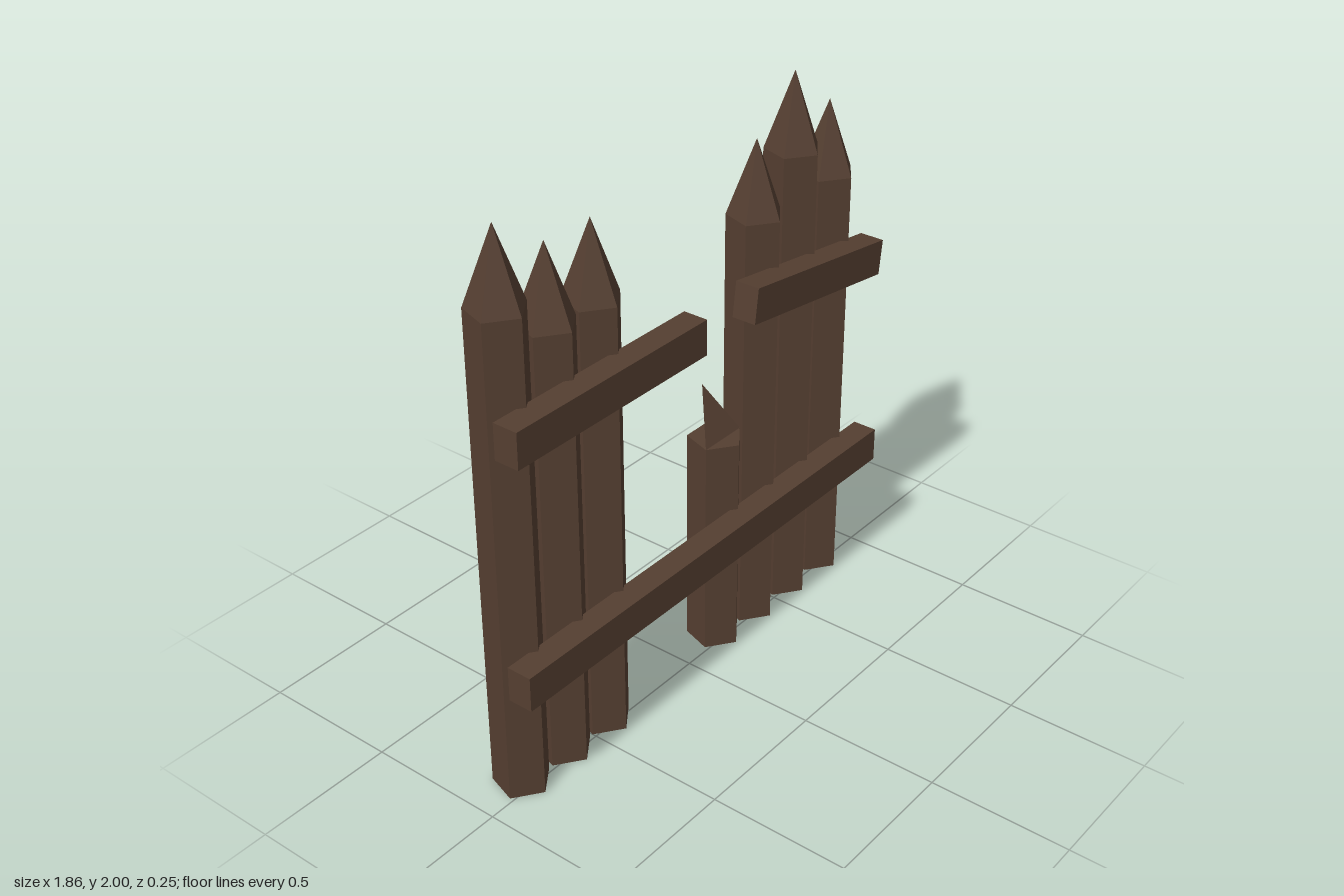
import * as THREE from 'three';

const wood = new THREE.MeshStandardMaterial({ color: 0x553f31 });
wood.name = 'darkWood';
wood.flatShading = true;
wood.side = THREE.DoubleSide;

const R = 0.098;        // five-sided stake radius, one edge facing the front
const STAKE_Z = -0.045;
const RAIL_H = 0.125, RAIL_D = 0.09, RAIL_Z = 0.08;

function add(parent, name, geometry, x, y, z) {
  const mesh = new THREE.Mesh(geometry, wood);
  mesh.name = name;
  mesh.position.set(x, y, z);
  parent.add(mesh);
  return mesh;
}

// Upright post, optionally with a pointed tip
function stake(name, x, shoulder, tip) {
  const g = new THREE.Group();
  g.name = name;
  g.position.set(x, 0, STAKE_Z);
  add(g, 'post', new THREE.CylinderGeometry(R, R, shoulder, 5, 1, Boolean(tip)), 0, shoulder / 2, 0);
  if (tip) {
    const h = tip - shoulder;
    add(g, 'point', new THREE.ConeGeometry(R, h, 5, 1, true), 0, shoulder + h / 2, 0);
    const base = add(g, 'base', new THREE.CircleGeometry(R, 5), 0, 0, 0);
    base.rotation.set(Math.PI / 2, 0, Math.PI / 2);
  }
  return g;
}

function rail(parent, name, x, y, length, tilt = 0) {
  add(parent, name, new THREE.BoxGeometry(length, RAIL_H, RAIL_D), x, y, RAIL_Z).rotation.z = tilt;
}

export function createModel() {
  const fence = new THREE.Group();
  fence.name = 'brokenFence';

  // Whole stakes: x, shoulder height, tip height
  [
    [-0.81, 1.715, 1.98], [-0.607, 1.585, 1.85], [-0.407, 1.585, 1.85],
    [0.402, 1.565, 1.83], [0.603, 1.73, 2.0], [0.806, 1.58, 1.84],
  ].forEach(([x, shoulder, tip], i) => fence.add(stake(`stake${i + 1}`, x, shoulder, tip)));

  // Snapped stake: flat top with one splinter leaning back
  const snapped = stake('snappedStake', 0.2, 0.82);
  const sx = R * Math.sin(Math.PI * 0.4), sz = R * Math.cos(Math.PI * 0.4);
  const splinter = new THREE.BufferGeometry().setFromPoints([
    new THREE.Vector3(-sx, 0, sz), new THREE.Vector3(sx, 0, sz), new THREE.Vector3(0, 0.18, -0.06),
  ]);
  splinter.computeVertexNormals();
  add(snapped, 'splinter', splinter, 0, 0.82, 0);
  fence.add(snapped);

  // Rails across the front
  rail(fence, 'lowerRail', 0, 0.503, 1.857);
  rail(fence, 'upperRightRail', -0.5, 1.367, 0.86);
  rail(fence, 'upperLeftTiltedRail', 0.545, 1.32, 0.722, -0.135);

  return fence;
}
